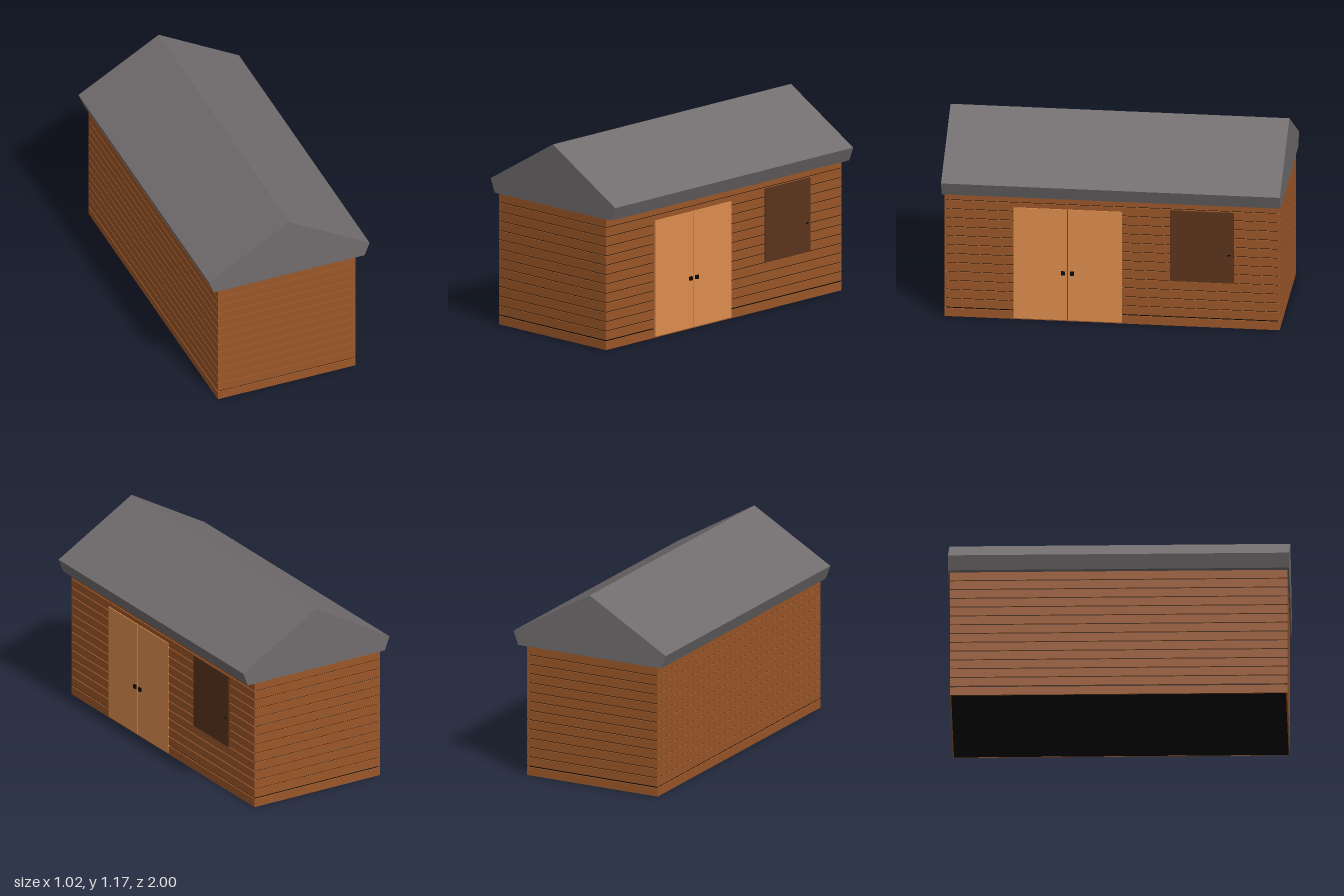
import * as THREE from 'three';

const mat = (color) => new THREE.MeshStandardMaterial({ color, flatShading: true });

export function createModel() {
  const shed = new THREE.Group();
  shed.name = 'shed';
  const wood = mat(0x9a5628), doorWood = mat(0xdd8d4d), darkWood = mat(0x5a341c);
  const black = mat(0x060606), roofGrey = mat(0x716c6e);

  const add = (name, geometry, material) => {
    const mesh = new THREE.Mesh(geometry, material);
    mesh.name = name;
    shed.add(mesh);
    return mesh;
  };
  // Box given by its lower and upper corners
  const box = (name, [x0, y0, z0], [x1, y1, z1], material) => {
    const mesh = add(name, new THREE.BoxGeometry(x1 - x0, y1 - y0, z1 - z0), material);
    mesh.position.set((x0 + x1) / 2, (y0 + y1) / 2, (z0 + z1) / 2);
    return mesh;
  };
  const polygon = (points) => points.map(([x, y]) => new THREE.Vector2(x, y));

  const left = 0.425, right = -0.45, end = 0.99, wallTop = 0.797, inset = 0.008;

  // Dark core seen in the gaps between planks and from below
  box('core', [right + inset, 0.001, -end + inset], [left - inset, wallTop, end - inset], black);

  // Fourteen courses of planks, each a ring around the core
  const rect = (m) => polygon([
    [right + m, -end + m], [left - m, -end + m], [left - m, end - m], [right + m, end - m],
  ]);
  const ring = new THREE.Shape(rect(0));
  ring.holes.push(new THREE.Path(rect(inset)));
  const courses = 14, pitch = wallTop / courses, gap = 0.006;
  const plank = new THREE.ExtrudeGeometry(ring, { depth: pitch - gap, bevelEnabled: false });
  plank.rotateX(-Math.PI / 2);
  for (let i = 0; i < courses; i++) {
    add('plankCourse', plank, wood).position.y = i * pitch + (i ? gap / 2 : 0);
  }

  // Gabled roof with sloping eaves
  const gable = new THREE.Shape(polygon([
    [-0.478, 0.795], [0.478, 0.795], [0.51, 0.877], [0, 1.172], [-0.51, 0.877],
  ]));
  const roof = new THREE.ExtrudeGeometry(gable, { depth: 2, bevelEnabled: false });
  add('roof', roof.translate(0, 0, -1), roofGrey);

  // Double door with a handle on each leaf
  box('doorGap', [left - 0.01, 0.01, 0.255], [left + 0.001, 0.708, 0.275], black);
  box('frontDoorLeaf', [left - 0.01, 0.008, 0.267], [0.431, 0.71, 0.582], doorWood);
  box('backDoorLeaf', [left - 0.01, 0.008, -0.06], [0.431, 0.71, 0.262], doorWood);
  for (const z of [0.288, 0.236]) {
    box('doorHandle', [0.43, 0.296, z - 0.011], [0.441, 0.319, z + 0.011], black);
  }

  // Side hatch with a small latch
  box('hatch', [left - 0.01, 0.286, -0.719], [0.432, 0.734, -0.342], darkWood);
  box('hatchLatch', [0.43, 0.459, -0.7], [0.435, 0.467, -0.682], black);

  return shed;
}
